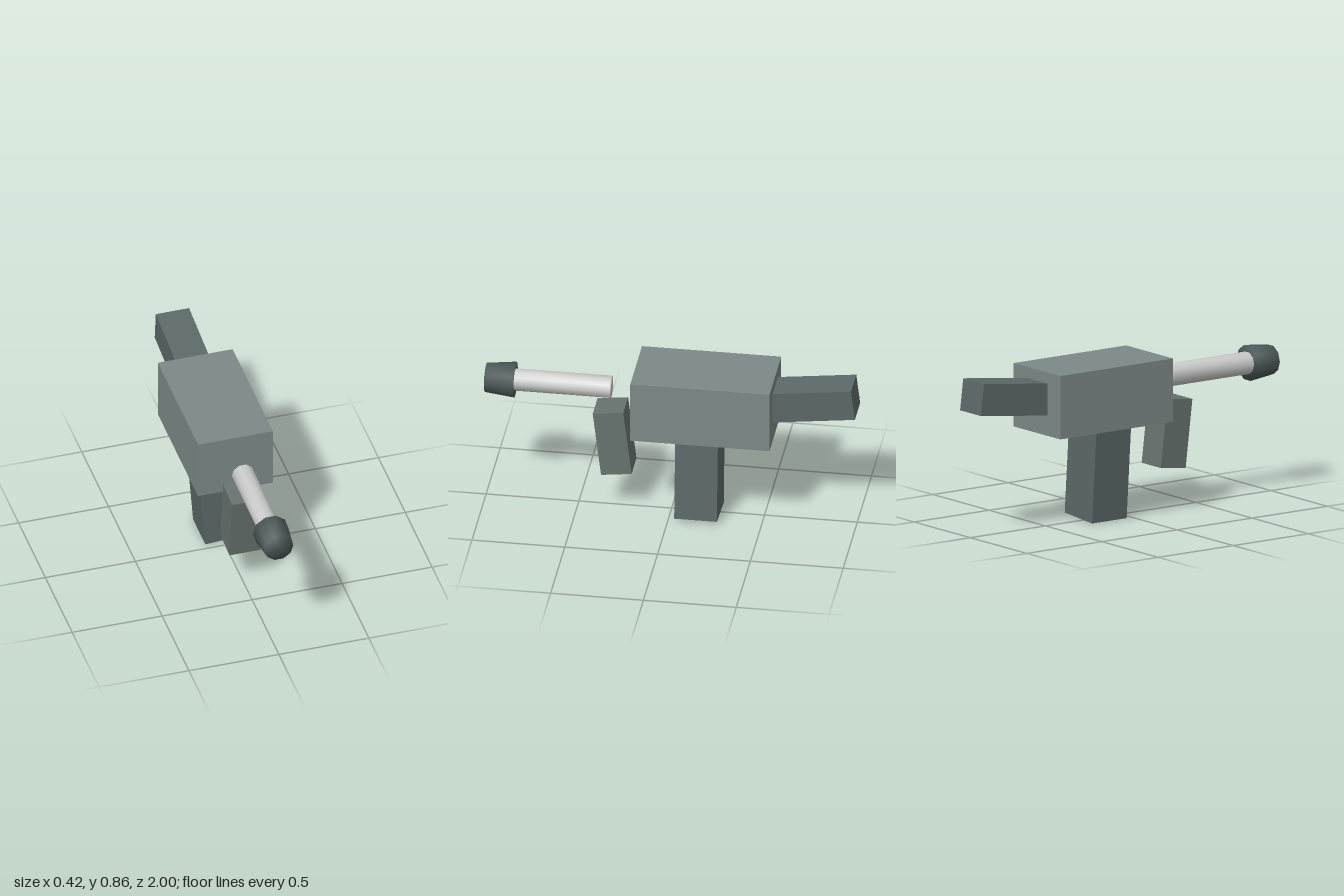
import * as THREE from 'three';
import { mergeVertices } from 'three/addons/utils/BufferGeometryUtils.js';

const material = (color) => new THREE.MeshStandardMaterial({ color });

export function createModel() {
  const group = new THREE.Group();
  const dark = material(0x5c6869);

  const add = (name, geometry, mat, position, rotation = [0, 0, 0]) => {
    const mesh = new THREE.Mesh(geometry, mat);
    mesh.name = name;
    mesh.position.set(...position);
    mesh.rotation.set(...rotation);
    group.add(mesh);
  };
  const box = (w, h, d) => new THREE.BoxGeometry(w, h, d);

  // Ten-sided tube along z, with normals shared across the rims
  const tube = (frontRadius, backRadius, length) => {
    const g = new THREE.CylinderGeometry(frontRadius, backRadius, length, 10, 1, false, Math.PI / 2);
    g.rotateX(Math.PI / 2);
    g.deleteAttribute('uv');
    g.deleteAttribute('normal');
    const merged = mergeVertices(g, 1e-4);
    merged.computeVertexNormals();
    return merged;
  };

  // Main block
  add('body', box(0.416, 0.345, 0.75), material(0x7c8988), [-0.001, 0.688, -0.183]);

  // Rear stock, tilted upward and sunk slightly into the body
  add('stock', box(0.185, 0.173, 0.46), dark, [-0.002, 0.738, -0.762], [0.121, 0, 0]);

  // Grip, leaning sideways
  add('grip', box(0.244, 0.53, 0.23), dark, [0.001, 0.275, -0.15], [0, 0, 0.077]);

  // Magazine in front of the body, top leaning forward
  add('magazine', box(0.171, 0.373, 0.166), material(0x67726f), [-0.001, 0.416, 0.308], [0.121, 0, 0]);

  // Barrel and flared muzzle
  add('barrel', tube(0.061, 0.061, 0.54), material(0xcccccc), [0, 0.718, 0.595]);
  add('muzzle', tube(0.08, 0.098, 0.157), material(0x4c5858), [0, 0.717, 0.9215]);

  return group;
}
